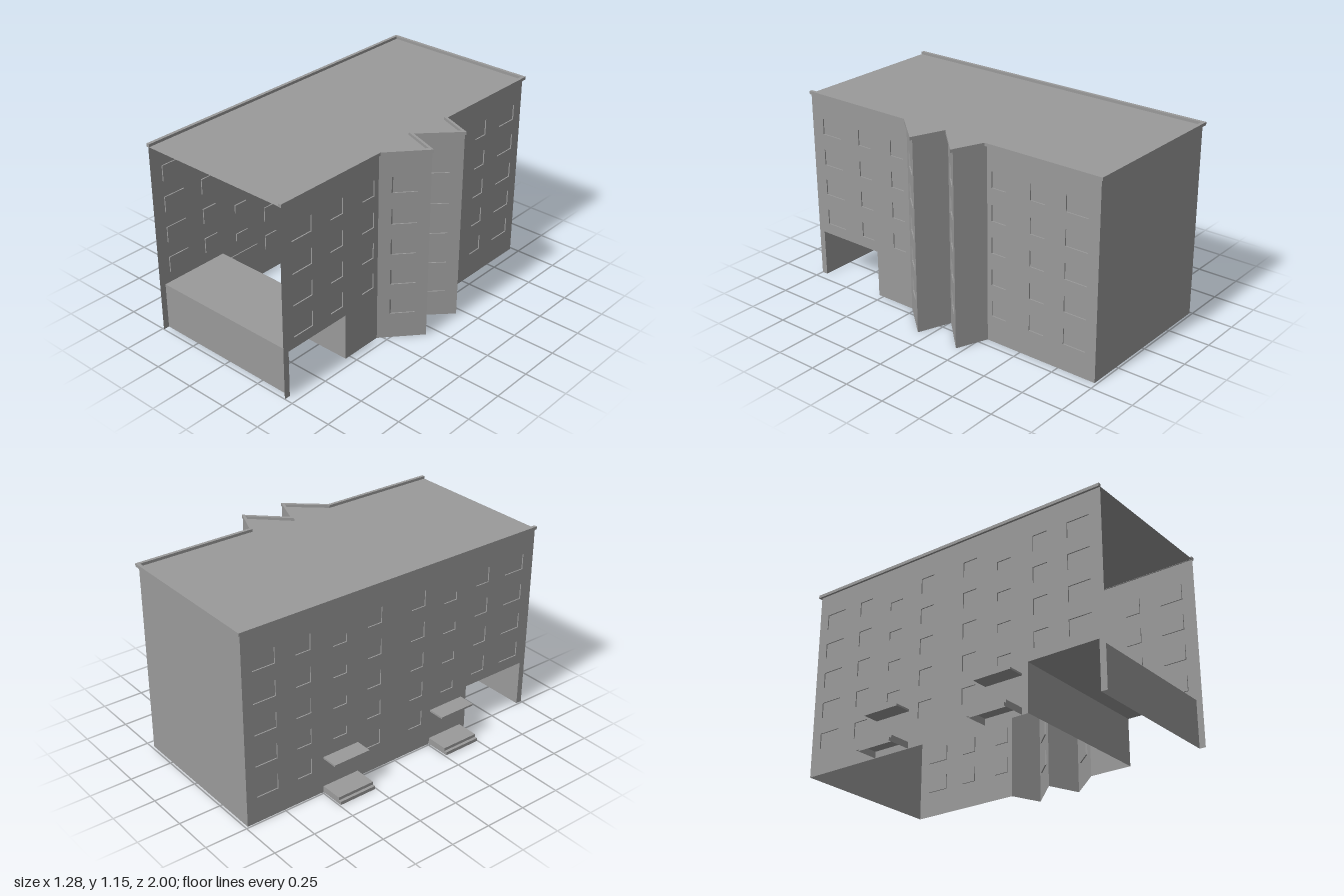
import * as THREE from 'three';

const mat = new THREE.MeshStandardMaterial({ color: 0x9a9a9a, side: THREE.DoubleSide, flatShading: true });
const WALL_TOP = 1.136, PASSAGE_H = 0.28, RECESS = 0.007;
const ROWS = [0.953, 0.765, 0.579, 0.391, 0.202];
const STAIR_ROWS = [0.898, 0.712, 0.525, 0.337];

// Wall line in plan [x, z], from front right around the back to front left
const OUTLINE = [
  [0.448, 1], [0.448, 0.275], [0.629, 0.068], [0.436, -0.007], [0.629, -0.206],
  [0.448, -0.28], [0.448, -0.986], [-0.49, -0.986], [-0.49, 1],
];
// Wall stretches where the zigzag bay returns
const RETURNS = [2, 4];

function add(parent, name, geometry) {
  const mesh = new THREE.Mesh(geometry, mat);
  mesh.name = name;
  parent.add(mesh);
  return mesh;
}

// Box with one side left out (3 = bottom, 4 = front)
function openBox(w, h, d, side) {
  const g = new THREE.BoxGeometry(w, h, d);
  const index = Array.from(g.index.array);
  index.splice(side * 6, 6);
  g.setIndex(index);
  g.clearGroups();
  return g;
}

// Window recess; skew slides its pane sideways as it goes in
function recessGeometry(w, h, skew) {
  const g = openBox(w, h, RECESS, 4).translate(0, 0, -RECESS / 2);
  const p = g.attributes.position;
  for (let i = 0; i < p.count; i++) p.setX(i, p.getX(i) - skew * p.getZ(i));
  g.computeVertexNormals();
  return g;
}

// Column of windows at distance u along a wall
const column = (u, w, rows = ROWS, h = 0.093) => rows.map((y) => ({ u, y, w, h }));

// Upright wall from a to b, with windows and an optional gateway [u0, u1]
function wall(parent, name, a, b, { windows = [], gate = [], skew = 0 } = {}) {
  const dx = b[0] - a[0], dz = b[1] - a[1], len = Math.hypot(dx, dz);
  const group = new THREE.Group();
  group.name = name;
  group.position.set(a[0], 0, a[1]);
  group.rotation.y = Math.atan2(-dz, dx);
  const pts = [[0, 0]];
  if (gate.length) pts.push([gate[0], 0], [gate[0], PASSAGE_H], [gate[1], PASSAGE_H], [gate[1], 0]);
  pts.push([len, 0], [len, WALL_TOP], [0, WALL_TOP]);
  const shape = new THREE.Shape(pts.map((p) => new THREE.Vector2(...p)));
  for (const { u, y, w, h } of windows) {
    const hole = [[-1, -1], [-1, 1], [1, 1], [1, -1]];
    shape.holes.push(new THREE.Path(hole.map(([i, j]) => new THREE.Vector2(u + i * w / 2, y + j * h / 2))));
    add(group, 'window', recessGeometry(w, h, skew)).position.set(u, y, 0);
  }
  add(group, 'wallSurface', new THREE.ShapeGeometry(shape));
  parent.add(group);
}

// Outline with each stretch moved outward by d (bay returns by dReturn), corners mitred
function offsetOutline(d, dReturn) {
  const edges = OUTLINE.slice(1).map((b, i) => {
    const a = OUTLINE[i];
    const n = new THREE.Vector2(a[1] - b[1], b[0] - a[0]).normalize();
    return { n, d: RETURNS.includes(i) ? dReturn : d };
  });
  return OUTLINE.map(([x, z], i) => {
    const e = edges[i - 1], f = edges[i];
    if (!e || !f) {
      const end = e || f;
      return new THREE.Vector2(x + end.n.x * end.d, -(z + end.n.y * end.d));
    }
    const det = e.n.cross(f.n);
    const mx = (e.d * f.n.y - f.d * e.n.y) / det;
    const mz = (f.d * e.n.x - e.d * f.n.x) / det;
    return new THREE.Vector2(x + mx, -(z + mz));
  });
}

export function createModel() {
  const building = new THREE.Group();
  building.name = 'apartmentBlock';

  // Right side: two flat stretches with a zigzag bay between them
  const upper = ROWS.slice(0, 4);
  const P = OUTLINE;
  wall(building, 'rightFrontWall', P[0], P[1], {
    windows: [...column(0.15, 0.14, upper), ...column(0.403, 0.093, upper), ...column(0.645, 0.093, upper)],
    gate: [0.037, 0.468],
  });
  for (const i of [1, 3]) {
    const dx = P[i + 1][0] - P[i][0], dz = P[i + 1][1] - P[i][1];
    // Bay windows are set straight back, parallel to the long walls
    wall(building, 'bayWindowWall', P[i], P[i + 1], {
      windows: column(Math.hypot(dx, dz) / 2, 0.138), skew: -dz / dx,
    });
    wall(building, 'bayReturnWall', P[i + 1], P[i + 2]);
  }
  wall(building, 'rightBackWall', P[5], P[6], {
    windows: [...column(0.075, 0.093), ...column(0.325, 0.093), ...column(0.57, 0.14)],
  });
  wall(building, 'backWall', P[6], P[7]);

  // Left side: two stairwells, each with flats on both sides
  const windows = [];
  for (const s of [-1, 1]) {
    const outer = s > 0 ? upper : ROWS;
    const u = (z) => 0.986 + s * z;
    windows.push(...column(u(0.15), 0.093), ...column(u(0.38), 0.09, STAIR_ROWS, 0.05),
      ...column(u(0.615), 0.093, outer), ...column(u(0.855), 0.137, outer));
  }
  wall(building, 'leftWall', P[7], P[8], { windows, gate: [1.518, 1.949] });

  // Passage through the front end
  for (const z of [0.532, 0.963]) {
    const g = new THREE.PlaneGeometry(0.938, PASSAGE_H);
    add(building, 'passageWall', g).position.set(-0.021, PASSAGE_H / 2, z);
  }
  const ceiling = new THREE.PlaneGeometry(0.938, 0.431).rotateX(-Math.PI / 2);
  add(building, 'passageCeiling', ceiling).position.set(-0.021, PASSAGE_H, 0.7475);

  // Entrance steps, hollow underneath, and canopies
  for (const z of [-0.375, 0.378]) {
    add(building, 'lowerStep', openBox(0.018, 0.02, 0.234, 3)).position.set(-0.631, 0.01, z);
    add(building, 'upperStep', openBox(0.132, 0.038, 0.234, 3)).position.set(-0.556, 0.019, z);
    add(building, 'canopy', new THREE.BoxGeometry(0.106, 0.011, 0.234)).position.set(-0.537, 0.2205, z);
  }

  // Roof and its edge trim, open at the front and flush with the bay returns
  const roof = new THREE.ShapeGeometry(new THREE.Shape(offsetOutline(0, 0)));
  add(building, 'roof', roof.rotateX(-Math.PI / 2)).position.y = WALL_TOP;
  const ring = [...offsetOutline(0.0135, 0.0005), ...offsetOutline(-0.006, -0.015).reverse()];
  const trim = new THREE.ExtrudeGeometry(new THREE.Shape(ring), { depth: 0.018, bevelEnabled: false });
  add(building, 'roofTrim', trim.rotateX(-Math.PI / 2)).position.y = 1.134;

  return building;
}
